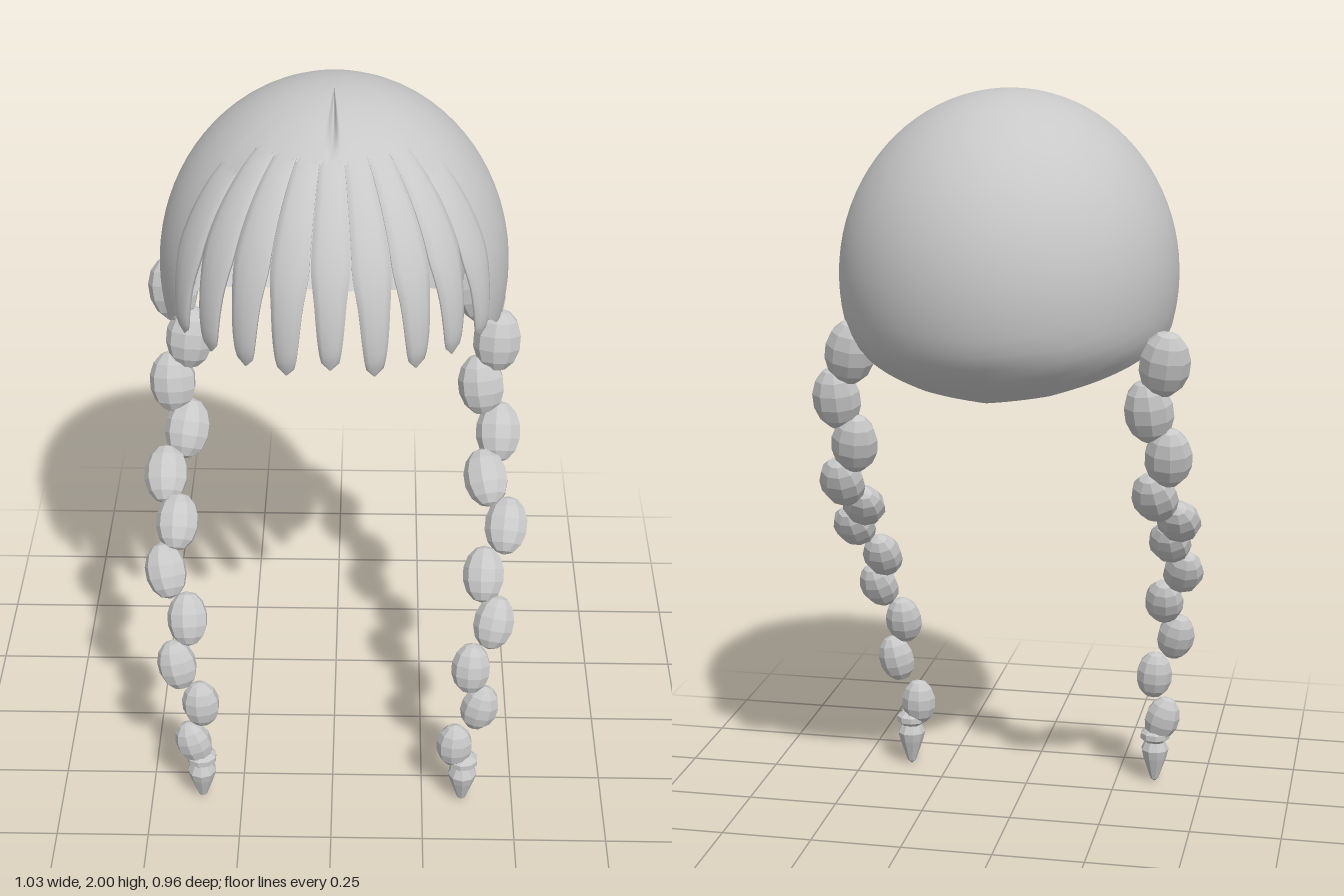
import * as THREE from 'three';

const RX = 0.44, RY = 0.475, RZ = 0.475, CY = 1.525;
const hair = new THREE.MeshStandardMaterial({ color: 0xc8c8c8, side: THREE.DoubleSide });
hair.name = 'hairGrey';

// Linear interpolation through [input, output] pairs
function lerpTable(table, v) {
  for (let i = 1; i < table.length; i++) {
    const [a, p] = table[i - 1], [b, q] = table[i];
    if (v <= b) return p + (q - p) * Math.max(0, (v - a) / (b - a));
  }
  return table[table.length - 1][1];
}

// Surface from rows (downward) and closed columns (around)
function closedGrid(rows, cols, point) {
  const pos = [], index = [];
  for (let r = 0; r <= rows; r++)
    for (let c = 0; c < cols; c++) pos.push(...point(r / rows, c / cols));
  for (let r = 0; r < rows; r++)
    for (let c = 0; c < cols; c++) {
      const n = (c + 1) % cols, a = r * cols + c, b = a + cols;
      const d = r * cols + n, e = d + cols;
      if (r > 0) index.push(a, b, d);
      index.push(b, e, d);
    }
  const g = new THREE.BufferGeometry();
  g.setAttribute('position', new THREE.Float32BufferAttribute(pos, 3));
  g.setIndex(index);
  g.computeVertexNormals();
  return g;
}

function faceted(geometry) {
  const g = geometry.index ? geometry.toNonIndexed() : geometry;
  g.computeVertexNormals();
  return g;
}

function part(name, geometry) {
  const m = new THREE.Mesh(geometry, hair);
  m.name = name;
  return m;
}

// Height of the cap's lower edge against the angle away from the front
const EDGE = [[0, 1.76], [50, 1.75], [54, 1.66], [60, 1.5], [70, 1.44], [90, 1.39],
  [103, 1.36], [117, 1.325], [130, 1.3], [150, 1.267], [180, 1.245]];

function makeCap() {
  return part('hairCap', closedGrid(26, 120, (v, u) => {
    const az = u * Math.PI * 2;
    const deg = Math.min(u, 1 - u) * 360;
    const theta = v * Math.acos((lerpTable(EDGE, deg) - CY) / RY);
    let y = CY + RY * Math.cos(theta);
    let s = Math.sin(theta);
    // Nape curls inward
    if (y < 1.4) s *= 1 - 0.2 * ((1.4 - y) / 0.155) ** 2;
    const z = RZ * s * Math.cos(az);
    // Parting crease
    if (deg < 1 && z < 0.25) y -= 0.03 * Math.sin(Math.PI * z / 0.25);
    return [RX * s * Math.sin(az), y, z];
  }));
}

// One fringe lock: a lens-shaped strip following the head, tapering to a rounded tip
function makeLock(i) {
  const az0 = i * THREE.MathUtils.degToRad(13.8);
  const top = Math.abs(i) === 4 ? 1.88 : 1.93;
  const tip = i === 0 ? 1.495 : 1.47;
  const t0 = Math.acos((top - CY) / RY), t1 = Math.acos((tip - CY) / RY);
  const half = [[0, 0.125], [0.52, 0.122], [0.68, 0.092], [0.85, 0.072], [0.95, 0.055], [0.985, 0.035], [1, 0.004]];
  const thick = [[0, 0.002], [0.12, 0.007], [0.6, 0.012], [0.93, 0.012], [1, 0.001]];
  return part('fringeLock', closedGrid(24, 10, (v, u) => {
    const phi = u * Math.PI * 2;
    const theta = t0 + (t1 - t0) * v;
    const az = az0 + lerpTable(half, v) * Math.sin(phi);
    const k = 1 + (0.002 + lerpTable(thick, v) * Math.cos(phi)) / RZ;
    const s = Math.sin(theta) * k;
    return [RX * s * Math.sin(az), CY + RY * Math.cos(theta) * k, RZ * s * Math.cos(az)];
  }));
}

// Braid centre line: distance from the middle, height, depth
const BRAID = [[0.408, 1.335, -0.175], [0.41, 1.205, -0.143], [0.415, 1.08, -0.118],
  [0.42, 0.96, -0.07], [0.43, 0.872, 0.022], [0.44, 0.785, 0.12], [0.425, 0.68, 0.198],
  [0.41, 0.57, 0.265], [0.395, 0.452, 0.315], [0.378, 0.328, 0.33], [0.358, 0.195, 0.336]];

function makeBraid(side, name) {
  const braid = new THREE.Group();
  braid.name = name;
  const bead = faceted(new THREE.SphereGeometry(1, 9, 7));
  const up = new THREE.Vector3(0, 1, 0);
  const last = BRAID.length - 1;
  // Plaited beads swing alternately to either side
  BRAID.forEach(([x, y, z], i) => {
    const m = part('braidBead', bead);
    const f = i / last;
    const swing = i % 2 ? 1 : -1;
    m.position.set(side * x + 0.022 * swing, y, z);
    const a = BRAID[Math.max(0, i - 1)], b = BRAID[Math.min(last, i + 1)];
    const dir = new THREE.Vector3(side * (a[0] - b[0]) + 0.02 * swing, a[1] - b[1], a[2] - b[2]);
    m.quaternion.setFromUnitVectors(up, dir.normalize());
    m.scale.set(0.067 - 0.017 * f, 0.09 - 0.022 * f, 0.052 - 0.012 * f);
    braid.add(m);
  });
  // Tie and tapered tail
  const x = side * 0.36;
  const tie = part('braidTie', faceted(new THREE.SphereGeometry(1, 9, 5)));
  tie.scale.set(0.044, 0.026, 0.04);
  tie.position.set(x, 0.142, 0.338);
  const profile = [[0, 0.13], [0.028, 0.125], [0.04, 0.1], [0.034, 0.075], [0.012, 0.01], [0, 0]]
    .reverse().map(([r, h]) => new THREE.Vector2(r, h));
  const tail = part('braidTail', faceted(new THREE.LatheGeometry(profile, 9)));
  tail.position.set(x, 0, 0.34);
  braid.add(tie, tail);
  return braid;
}

export function createModel() {
  const model = new THREE.Group();
  model.name = 'braidedWig';
  model.add(makeCap());
  const fringe = new THREE.Group();
  fringe.name = 'fringe';
  for (let i = -4; i <= 4; i++) fringe.add(makeLock(i));
  model.add(fringe, makeBraid(1, 'leftBraid'), makeBraid(-1, 'rightBraid'));
  return model;
}
